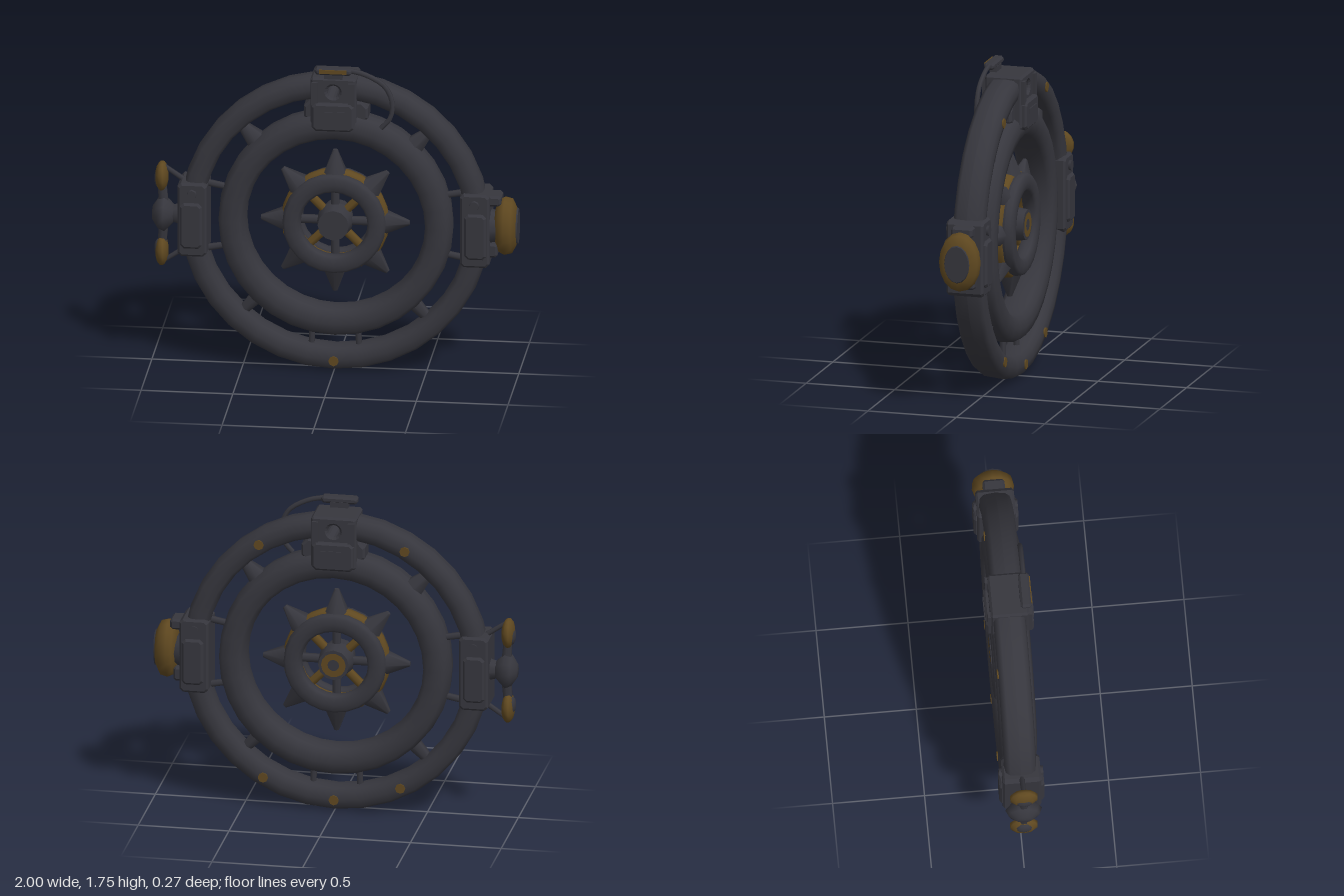
import * as THREE from 'three';

const dark = new THREE.MeshStandardMaterial({ color: 0x36363d });
dark.name = 'dark iron';
const gold = new THREE.MeshStandardMaterial({ color: 0x5f4820 });
gold.name = 'aged brass';

const CY = 0.85;

function add(parent, name, geo, mat, x = 0, y = 0, z = 0) {
  const m = new THREE.Mesh(geo, mat);
  m.name = name;
  m.position.set(x, y, z);
  parent.add(m);
  return m;
}

// Ring about the z axis with a softened rectangular section; gap opens it at the top
function ringGeo(radius, halfW, halfD, segs, gap = 0) {
  const pts = [];
  const n = 12;
  const soft = (v) => Math.sign(v) * Math.pow(Math.abs(v), 0.65);
  for (let i = 0; i <= n; i++) {
    const t = (i / n) * Math.PI * 2;
    pts.push(new THREE.Vector2(radius + halfW * soft(Math.cos(t)), halfD * soft(Math.sin(t))));
  }
  return new THREE.LatheGeometry(pts, segs, Math.PI + gap, Math.PI * 2 - 2 * gap).rotateX(Math.PI / 2);
}

// Block with slanted edges, extruded along z with a small bevel
function blockGeo(w, h, d, cut, hole) {
  const a = w / 2, b = h / 2;
  const s = new THREE.Shape();
  s.moveTo(-a + cut, -b); s.lineTo(a - cut, -b); s.lineTo(a, -b + cut); s.lineTo(a, b - cut);
  s.lineTo(a - cut, b); s.lineTo(-a + cut, b); s.lineTo(-a, b - cut); s.lineTo(-a, -b + cut);
  if (hole) {
    const p = new THREE.Path();
    p.absarc(hole.x, hole.y, hole.r, 0, Math.PI * 2, true);
    s.holes.push(p);
  }
  const bev = 0.012;
  return new THREE.ExtrudeGeometry(s, {
    depth: d - 2 * bev, bevelEnabled: true, bevelThickness: bev, bevelSize: bev,
    bevelOffset: -bev, bevelSegments: 1, curveSegments: 8,
  }).translate(0, 0, -d / 2 + bev);
}

// Tapered rod between two points
function rod(parent, name, a, b, r0, r1, mat, sides = 6) {
  const p = new THREE.Vector3(...a), q = new THREE.Vector3(...b);
  const dir = q.clone().sub(p);
  const m = add(parent, name, new THREE.CylinderGeometry(r1, r0, dir.length(), sides), mat);
  m.position.copy(p).add(q).multiplyScalar(0.5);
  m.quaternion.setFromUnitVectors(new THREE.Vector3(0, 1, 0), dir.normalize());
  return m;
}

function radial(parent, name, deg, r0, r1, w0, w1, mat, z = 0) {
  const t = THREE.MathUtils.degToRad(deg), c = Math.cos(t), s = Math.sin(t);
  return rod(parent, name, [r0 * c, r0 * s, z], [r1 * c, r1 * s, z], w0, w1, mat);
}

function createWheel() {
  const g = new THREE.Group();
  g.name = 'spikedWheel';
  for (const z of [-0.055, 0.055]) add(g, 'wheelRim', ringGeo(0.232, 0.05, 0.045, 24), dark, 0, 0, z);
  add(g, 'wheelBand', ringGeo(0.245, 0.05, 0.05, 24), gold);
  for (let i = 0; i < 8; i++) {
    radial(g, 'spike', i * 45, 0.26, 0.405, 0.075, 0.014, dark);
    radial(g, 'spoke', i * 45, 0.07, 0.22, 0.025, 0.025, i % 2 ? gold : dark);
  }
  const hub = new THREE.CylinderGeometry(0.085, 0.1, 0.1, 12).rotateX(Math.PI / 2);
  add(g, 'hubFront', hub, dark, 0, 0, 0.05);
  add(g, 'hubBack', hub, dark, 0, 0, -0.05).rotation.y = Math.PI;
  add(g, 'hubBackRing', new THREE.RingGeometry(0.032, 0.068, 14), gold, 0, 0, -0.103).rotation.y = Math.PI;
  return g;
}

function createTopHousing() {
  const g = new THREE.Group();
  g.name = 'topHousing';
  add(g, 'housingBody', blockGeo(0.25, 0.3, 0.21, 0.012, { x: 0, y: 0.07, r: 0.035 }), dark, 0, 1.55, 0);
  add(g, 'housingShoulder', blockGeo(0.35, 0.13, 0.13, 0.035), dark, 0.01, 1.49, 0);
  for (const s of [-1, 1]) {
    add(g, 'housingPad', blockGeo(0.23, 0.16, 0.04, 0.02), dark, 0, 1.48, s * 0.11);
    add(g, 'padLedge', new THREE.BoxGeometry(0.13, 0.03, 0.02), dark, 0, 1.5, s * 0.125);
    for (const x of [-0.1, 0.1]) add(g, 'housingRib', new THREE.BoxGeometry(0.035, 0.13, 0.03), dark, x, 1.61, s * 0.105);
  }
  // Lever with its curved cable
  add(g, 'leverPlate', blockGeo(0.2, 0.04, 0.06, 0.012), dark, 0, 1.74, 0.09);
  add(g, 'leverInlay', new THREE.BoxGeometry(0.15, 0.022, 0.006), gold, 0, 1.742, 0.121);
  add(g, 'leverPost', new THREE.BoxGeometry(0.1, 0.06, 0.04), dark, 0, 1.7, 0.08);
  const path = new THREE.CatmullRomCurve3([[0.08, 1.745], [0.17, 1.725], [0.28, 1.66], [0.32, 1.57],
    [0.31, 1.48], [0.26, 1.42]].map(([x, y]) => new THREE.Vector3(x, y, 0.09)));
  add(g, 'cable', new THREE.TubeGeometry(path, 14, 0.014, 6), dark);
  return g;
}

function createSideHousing(side) {
  const g = new THREE.Group();
  g.name = side > 0 ? 'leftHousing' : 'rightHousing';
  add(g, 'sideBlock', blockGeo(0.16, 0.42, 0.21, 0.02), dark, side * 0.77, CY, 0);
  for (const s of [-1, 1]) {
    add(g, 'sidePad', blockGeo(0.12, 0.26, 0.03, 0.02), dark, side * 0.775, CY - 0.03, s * 0.107);
    add(g, 'sideBolt', new THREE.CylinderGeometry(0.025, 0.03, 0.03, 8).rotateX(Math.PI / 2), dark,
      side * 0.77, CY + 0.15, s * 0.105);
  }
  return g;
}

// Oval knob on the left side
function createKnob() {
  const g = new THREE.Group();
  g.name = 'ovalKnob';
  const profile = [[0, 0.87], [0.1, 0.875], [0.15, 0.895], [0.165, 0.925], [0.155, 0.965], [0.1, 0.992], [0, 0.995]];
  const knob = new THREE.LatheGeometry(profile.map(([r, h]) => new THREE.Vector2(r, h)), 16)
    .rotateZ(-Math.PI / 2).scale(1, 1, 0.7);
  add(g, 'knobBody', knob, gold, 0, CY + 0.005, 0);
  add(g, 'knobFace', new THREE.CylinderGeometry(0.1, 0.105, 0.008, 16).rotateZ(-Math.PI / 2).scale(1, 1, 0.68),
    dark, 0.995, CY + 0.005, 0);
  add(g, 'knobStem', new THREE.CylinderGeometry(0.08, 0.1, 0.06, 10).rotateZ(-Math.PI / 2), dark, 0.865, CY, 0);
  add(g, 'upperBracket', blockGeo(0.1, 0.06, 0.12, 0.012), dark, 0.86, CY + 0.16, 0);
  add(g, 'lowerBracket', blockGeo(0.06, 0.08, 0.14, 0.012), dark, 0.86, CY - 0.12, 0);
  return g;
}

// Two-lobed valve handle on the right side
function createValve() {
  const g = new THREE.Group();
  g.name = 'valveHandle';
  const hub = [[0, 0.86], [0.05, 0.88], [0.1, 0.93], [0.085, 0.965], [0.04, 0.995], [0, 0.998]];
  add(g, 'valveHub', new THREE.LatheGeometry(hub.map(([r, h]) => new THREE.Vector2(r, h)), 10)
    .rotateZ(Math.PI / 2), dark, 0, CY, 0);
  rod(g, 'valveStem', [-0.82, CY, 0], [-0.9, CY, 0], 0.07, 0.045, dark, 8);
  for (const s of [-1, 1]) {
    const lobe = new THREE.SphereGeometry(1, 10, 7);
    add(g, 'valveLobe', lobe, gold, -0.945, CY + s * 0.215, 0).scale.set(0.037, 0.083, 0.08);
    add(g, 'lobeFace', lobe, dark, -0.963, CY + s * 0.2, 0).scale.set(0.024, 0.05, 0.05);
    rod(g, 'valveArm', [-0.935, CY + s * 0.05, 0], [-0.945, CY + s * 0.19, 0], 0.03, 0.025, dark);
    rod(g, 'valveStay', [-0.93, CY + s * 0.27, 0], [-0.82, CY + s * 0.195, 0], 0.013, 0.015, dark);
  }
  return g;
}

export function createModel() {
  const model = new THREE.Group();
  model.name = 'ringDevice';
  add(model, 'outerRing', ringGeo(0.781, 0.064, 0.088, 32, 0.12), dark, 0, CY, -0.004);
  add(model, 'innerRing', ringGeo(0.563, 0.077, 0.103, 32), dark, 0.005, CY - 0.005, 0.004);

  // Struts joining the two rings
  const struts = new THREE.Group();
  struts.name = 'ringStruts';
  struts.position.y = CY;
  for (const a of [46, 134]) radial(struts, 'upperStrut', a, 0.6, 0.73, 0.065, 0.03, dark);
  for (const a of [-47, -133]) radial(struts, 'lowerStrut', a, 0.6, 0.75, 0.045, 0.028, dark);
  for (const s of [-1, 1]) {
    rod(struts, 'bottomStrut', [s * 0.125, -0.58, 0], [s * 0.13, -0.76, 0], 0.018, 0.018, dark);
    for (const v of [-1, 1]) {
      rod(struts, 'sideStrut', [s * 0.58, v * 0.165, 0], [s * 0.74, v * 0.195, 0], 0.018, 0.02, dark);
    }
  }
  model.add(struts);

  // Brass studs set in the outer ring
  const stud = new THREE.CylinderGeometry(0.028, 0.028, 0.008, 8).rotateX(Math.PI / 2);
  add(model, 'frontStud', stud, gold, 0, CY - 0.785, 0.085);
  for (const deg of [58, 120, -60, -90, -118]) {
    const t = THREE.MathUtils.degToRad(deg);
    add(model, 'backStud', stud, gold, 0.78 * Math.cos(t), CY + 0.78 * Math.sin(t), -0.092);
  }

  const wheel = createWheel();
  wheel.position.y = CY;
  model.add(wheel, createTopHousing(), createSideHousing(1), createSideHousing(-1), createKnob(), createValve());
  return model;
}
